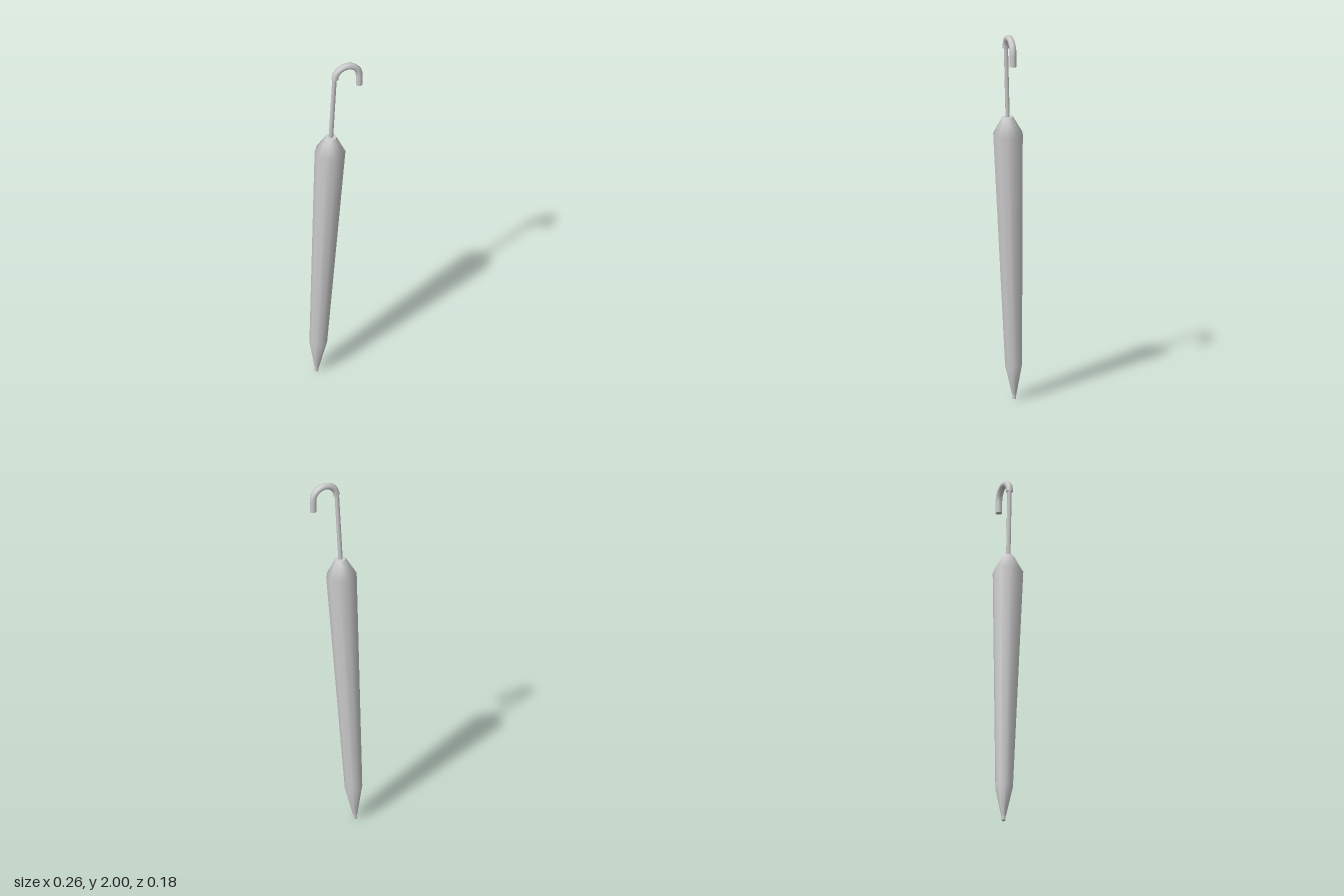
import * as THREE from 'three';

export function createModel() {
  const model = new THREE.Group();
  model.name = 'umbrella';
  const grey = new THREE.MeshStandardMaterial({ color: 0xcccccc });
  grey.name = 'light grey';

  const add = (parent, name, geometry) => {
    const mesh = new THREE.Mesh(geometry, grey);
    mesh.name = name;
    parent.add(mesh);
    return mesh;
  };

  // Straight parts share one slightly leaning axis
  const body = new THREE.Group();
  body.name = 'body';
  body.position.set(-0.095, 0, 0.009);
  body.rotation.set(0.002, 0, -0.052);
  model.add(body);

  // Furled canopy: ten-sided, smooth
  const profile = [[0.012, 0.025], [0.046, 0.19], [0.08, 1.445], [0.028, 1.54]]
    .map(([r, y]) => new THREE.Vector2(r, y));
  add(body, 'canopy', new THREE.LatheGeometry(profile, 10, THREE.MathUtils.degToRad(6)));
  const cap = add(body, 'canopyTop', new THREE.CircleGeometry(0.028, 10));
  cap.rotation.x = -Math.PI / 2;
  cap.position.y = 1.54;

  // Ferrule at the tip and shaft at the top
  add(body, 'ferrule', new THREE.CylinderGeometry(0.01, 0.01, 0.06, 6)).position.y = 0.03;
  add(body, 'shaft', new THREE.CylinderGeometry(0.012, 0.012, 0.42, 6)).position.y = 1.72;

  // Crook handle: a half circle followed by a short straight end
  const start = new THREE.Vector3(0.007, 1.916, 0.013);
  const end = new THREE.Vector3(0.109, 1.916, -0.073);
  const centre = start.clone().add(end).multiplyScalar(0.5);
  const radius = start.distanceTo(end) / 2;
  const across = end.clone().sub(start).normalize();
  const points = [];
  for (let i = 0; i <= 8; i++) {
    const a = Math.PI * (1 - i / 8);
    const p = centre.clone().addScaledVector(across, radius * Math.cos(a));
    p.y += radius * Math.sin(a);
    points.push(p);
  }
  points.push(new THREE.Vector3(end.x, 1.88, end.z), new THREE.Vector3(end.x, 1.85, end.z));
  const path = new THREE.CatmullRomCurve3(points);
  add(model, 'handle', new THREE.TubeGeometry(path, 20, 0.018, 8));

  // Flat ends of the handle, both facing down
  [['handleStart', points[0]], ['handleEnd', points[points.length - 1]]].forEach(([name, p]) => {
    const disc = add(model, name, new THREE.CircleGeometry(0.018, 8));
    disc.rotation.x = Math.PI / 2;
    disc.position.copy(p);
  });

  return model;
}
